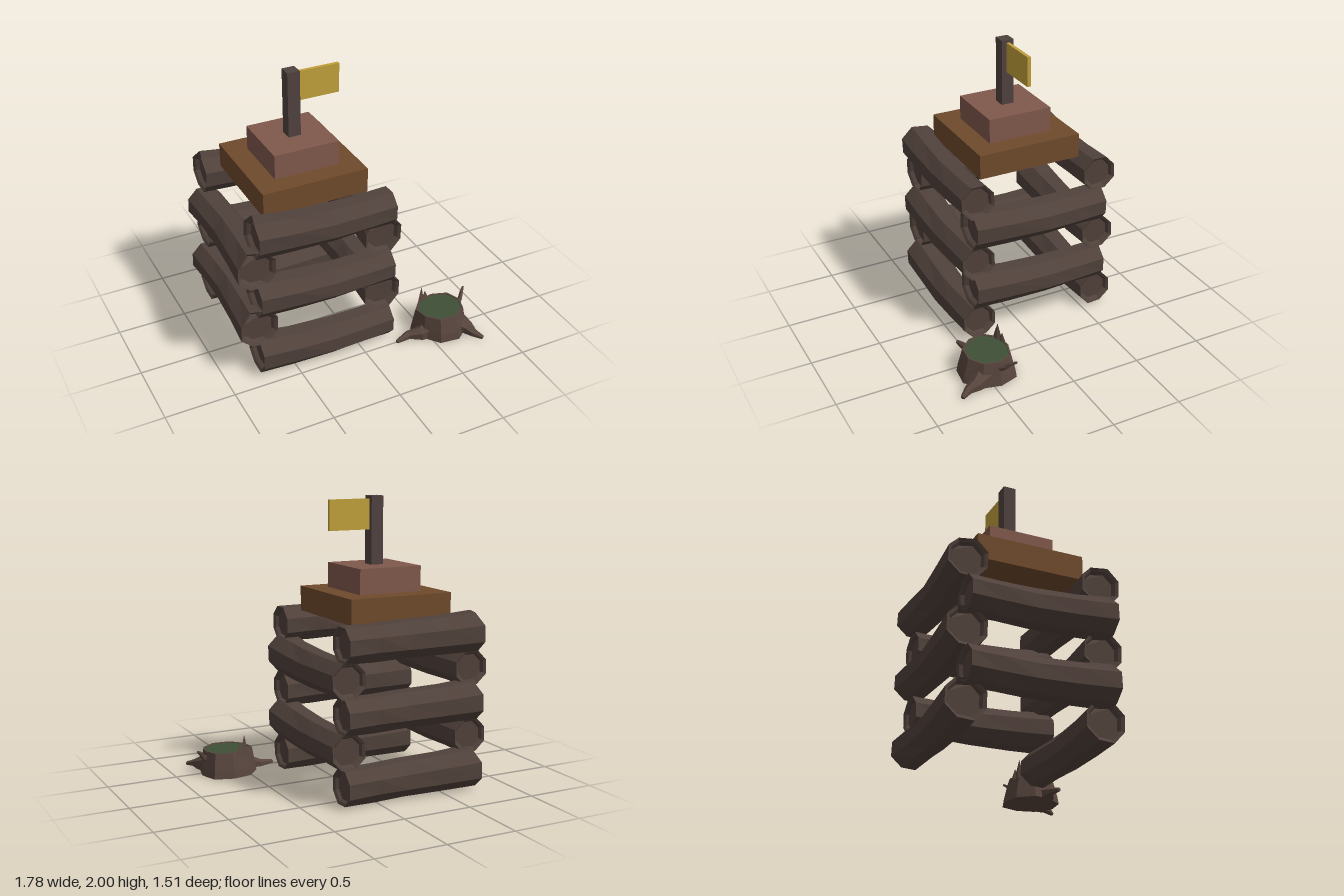
import * as THREE from 'three';

const mat = (name, color) => Object.assign(
  new THREE.MeshStandardMaterial({ color, flatShading: true }), { name });
const M = {
  bark: mat('dark bark', 0x50413b),
  stump: mat('stump bark', 0x57453d),
  moss: mat('moss green', 0x3f4f36),
  plank: mat('warm brown', 0x6f4a2c),
  block: mat('dusty red brown', 0x80584c),
  pole: mat('pole brown', 0x4f423e),
  flag: mat('flag yellow', 0xc0a03b),
};
const V = (x, y, z) => new THREE.Vector3(x, y, z);

// Skin over rings that run counterclockwise about the direction of travel, closed at both ends
function loft(rings) {
  const n = rings[0].length, last = (rings.length - 1) * n, idx = [];
  for (let i = 0; i < rings.length - 1; i++) {
    for (let j = 0; j < n; j++) {
      const k = (j + 1) % n, a = i * n;
      idx.push(a + j, a + k, a + n + k, a + j, a + n + k, a + n + j);
    }
  }
  for (let j = 1; j < n - 1; j++) idx.push(0, j + 1, j, last, last + j, last + j + 1);
  const g = new THREE.BufferGeometry().setFromPoints(rings.flat());
  g.setIndex(idx);
  const flat = g.toNonIndexed();
  flat.computeVertexNormals();
  return flat;
}

// Eight-sided log along x, slightly bowed, with recessed ends
function logGeometry() {
  // x, centre y, centre z, radius
  const stations = [
    [-0.465, 0.149, -0.008, 0.108], [-0.49, 0.149, -0.008, 0.124], [-0.503, 0.149, -0.008, 0.146],
    [-0.25, 0.138, 0.008, 0.138], [0.05, 0.131, 0.022, 0.131], [0.28, 0.13, 0.014, 0.129],
    [0.505, 0.13, 0.004, 0.13], [0.495, 0.13, 0.004, 0.11], [0.475, 0.13, 0.004, 0.097],
  ];
  const rings = stations.map(([x, cy, cz, r], i) => Array.from({ length: 8 }, (_, j) => {
    const a = (j + 0.5) * Math.PI / 4;
    const wobble = 1 + 0.025 * Math.sin(j * 2.7 + (i > 2 && i < 6 ? i * 1.9 : 0));
    const slant = i < 3 && j === 7 ? 0.03 : 0;
    return V(x + slant, Math.max(0.002, cy + r * wobble * Math.cos(a)), cz + r * wobble * Math.sin(a));
  }));
  return loft(rings);
}

// Tapered limb through [x, y, z, radius] points, kept above the ground
function limbGeometry(path, sides = 6) {
  const pts = path.map(p => V(p[0], p[1], p[2]));
  return loft(path.map((p, i) => {
    const t = pts[Math.min(i + 1, pts.length - 1)].clone().sub(pts[Math.max(i - 1, 0)]).normalize();
    const u = V(0, 1, 0).addScaledVector(t, -t.y).normalize();
    const v = t.clone().cross(u);
    return Array.from({ length: sides }, (_, j) => {
      const a = j / sides * Math.PI * 2;
      const q = pts[i].clone().addScaledVector(u, p[3] * Math.cos(a)).addScaledVector(v, p[3] * Math.sin(a));
      q.y = Math.max(0, q.y);
      return q;
    });
  }));
}

export function createModel() {
  const model = new THREE.Group();
  const add = (name, geometry, material, parent = model) => {
    const m = new THREE.Mesh(geometry, material);
    m.name = name;
    parent.add(m);
    return m;
  };
  const box = (name, material, x0, x1, y0, y1, z0, z1) =>
    add(name, new THREE.BoxGeometry(x1 - x0, y1 - y0, z1 - z0), material)
      .position.set((x0 + x1) / 2, (y0 + y1) / 2, (z0 + z1) / 2);

  // Five crossed layers of paired logs
  const logs = new THREE.Group();
  logs.name = 'logStack';
  model.add(logs);
  const log = logGeometry();
  for (let layer = 0; layer < 5; layer++) {
    for (const side of [0, 1]) {
      const m = add('log', log, M.bark, logs);
      if (layer % 2) {
        m.rotation.y = Math.PI / 2;
        m.position.set(side ? 0.2 : -0.742, layer * 0.2375, -0.126);
      } else {
        m.position.set(-0.255, layer * 0.2375, side ? 0.33 : -0.614);
      }
    }
  }

  // Stepped platform, pole and flag
  box('lowerPlatform', M.plank, -0.64, 0.125, 1.18, 1.355, -0.51, 0.255);
  box('upperPlatform', M.block, -0.49, -0.02, 1.355, 1.53, -0.36, 0.11);
  box('flagPole', M.pole, -0.3, -0.21, 1.53, 2, -0.17, -0.08);
  box('flag', M.flag, -0.21, 0.095, 1.77, 1.98, -0.14, -0.115);

  // Tree stump: nine-sided body with a rim round the cut top
  const stump = new THREE.Group();
  stump.name = 'stump';
  stump.position.set(0.625, 0, 0.465);
  model.add(stump);
  const ring = (y, rx, rz, amp) => Array.from({ length: 9 }, (_, j) => {
    const a = j / 9 * Math.PI * 2 + 0.25, k = 1 + amp * Math.sin(j * 2.3 + 1);
    return V(rx * k * Math.sin(a), y, rz * k * Math.cos(a));
  });
  add('stumpBody', loft([
    ring(0, 0.205, 0.2, 0.06), ring(0.06, 0.195, 0.19, 0.06), ring(0.178, 0.178, 0.158, 0.04),
    ring(0.178, 0.166, 0.145, 0.03), ring(0.166, 0.162, 0.142, 0.03),
  ]), M.stump, stump);
  add('mossTop', loft([ring(0.165, 0.164, 0.144, 0.03), ring(0.173, 0.164, 0.144, 0.03)]), M.moss, stump);

  // Roots
  add('leftRoot', limbGeometry([
    [-0.1, 0.04, 0.03, 0.09], [-0.19, 0.025, 0.05, 0.055], [-0.27, 0.018, 0.02, 0.032], [-0.375, 0.012, 0.045, 0.014],
  ]), M.stump, stump);
  add('frontRoot', limbGeometry([
    [0.1, 0.05, 0.08, 0.09], [0.15, 0.035, 0.16, 0.05], [0.165, 0.025, 0.22, 0.03], [0.205, 0.012, 0.28, 0.015],
  ]), M.stump, stump);

  // Side twig and splintered shards on the rim
  add('twig', limbGeometry([
    [0.14, 0.11, 0, 0.026], [0.2, 0.145, -0.04, 0.017], [0.225, 0.18, -0.065, 0.014], [0.257, 0.205, -0.095, 0.008],
  ], 5), M.stump, stump);
  const shard = (x, z, turn, width, height) => {
    const m = add('splinter', new THREE.ConeGeometry(1, height, 4), M.stump, stump);
    m.scale.set(width, 1, 0.022);
    m.rotation.y = turn;
    m.position.set(x, 0.15 + height / 2, z);
  };
  shard(-0.085, -0.125, 0.5, 0.045, 0.145);
  shard(-0.045, -0.14, 0.3, 0.045, 0.085);
  return model;
}
